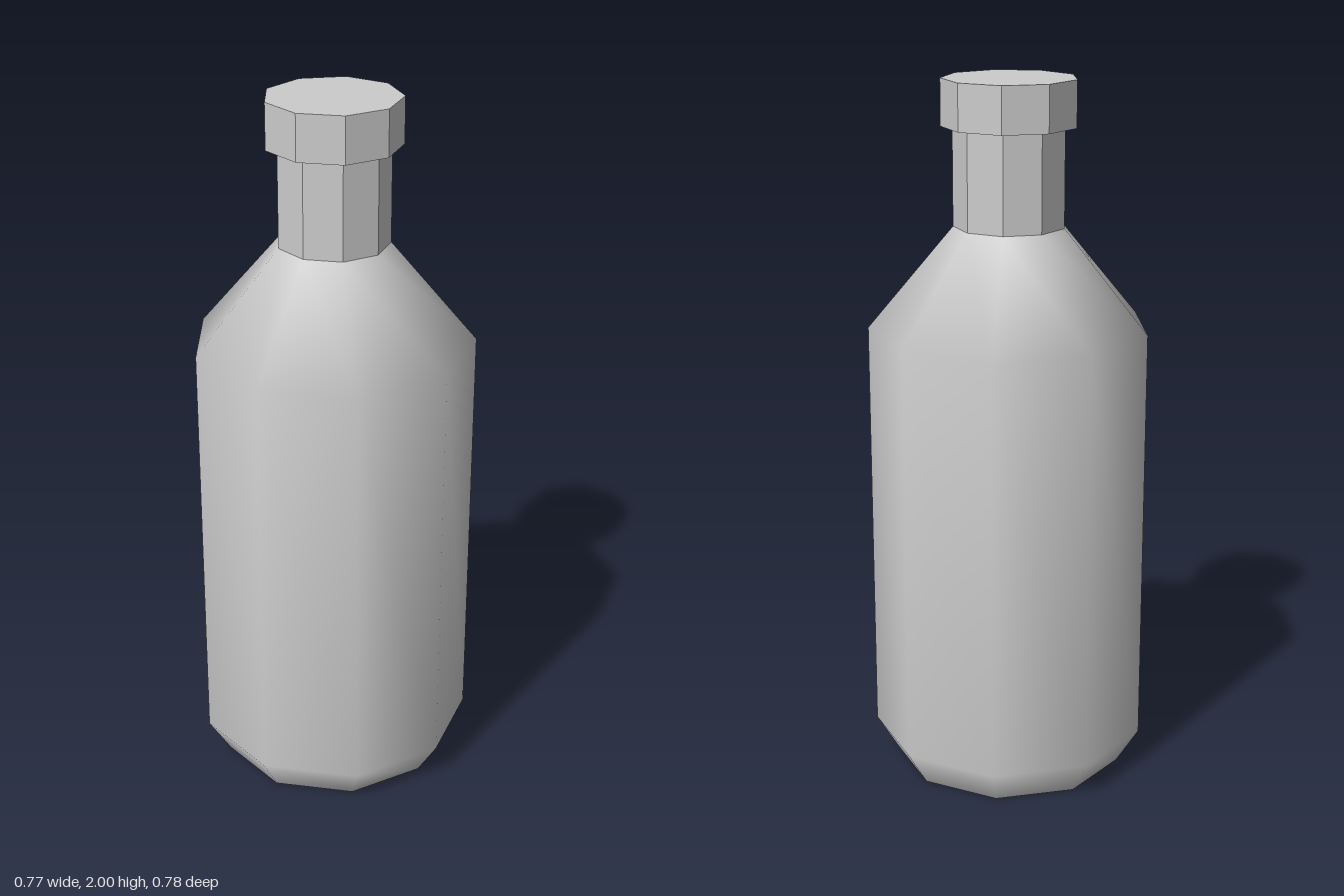
import * as THREE from 'three';

const SIDES = 9;
const START = Math.PI / 2; // one corner points along +x

export function createModel() {
  const bottle = new THREE.Group();
  bottle.name = 'bottle';
  const smooth = new THREE.MeshStandardMaterial({ color: 0xcccccc });
  const faceted = new THREE.MeshStandardMaterial({ color: 0xcccccc, flatShading: true });

  const add = (name, geometry, material, y = 0) => {
    const mesh = new THREE.Mesh(geometry, material);
    mesh.name = name;
    mesh.position.set(-0.012, y, 0); // nine-sided ring: offset centres its bounds
    bottle.add(mesh);
  };
  const prism = (radius, bottom, top, open) =>
    new THREE.CylinderGeometry(radius, radius, top - bottom, SIDES, 1, open, START);

  // Smooth-shaded body: bevelled foot, straight wall, sloping shoulder
  const profile = [[0.332, 0], [0.397, 0.105], [0.397, 1.31], [0.157, 1.595]]
    .map(([r, y]) => new THREE.Vector2(r, y));
  add('body', new THREE.LatheGeometry(profile, SIDES, START), smooth);

  // Flat underside
  add('base', new THREE.CircleGeometry(0.332, SIDES).rotateX(Math.PI / 2), faceted);

  // Faceted neck and cap
  add('neck', prism(0.157, 1.595, 1.87, true), faceted, (1.595 + 1.87) / 2);
  add('cap', prism(0.189, 1.87, 2, false), faceted, (1.87 + 2) / 2);

  return bottle;
}
